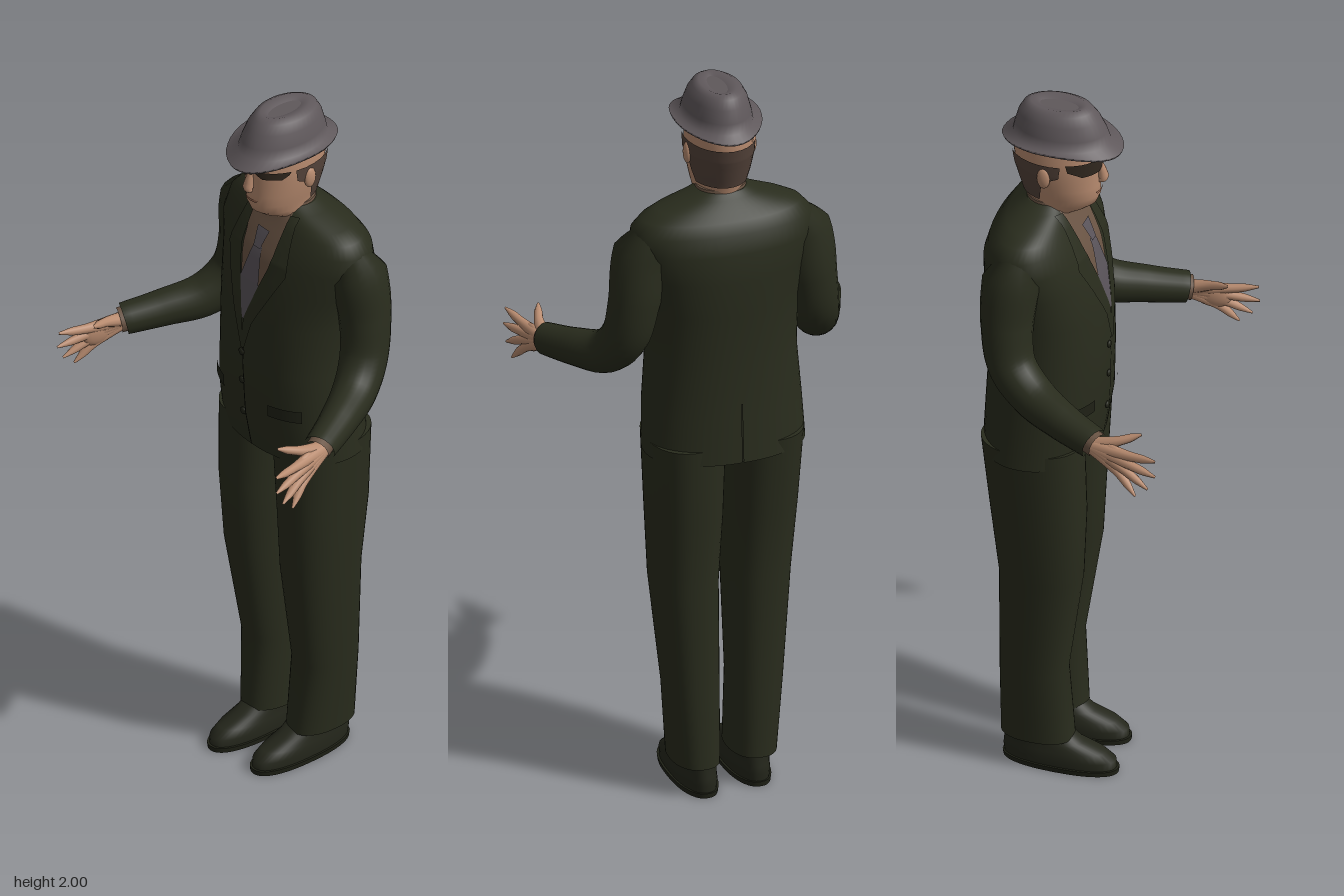
import * as THREE from 'three';

const mat = (name, color) => {
  const m = new THREE.MeshStandardMaterial({ color });
  m.name = name;
  return m;
};

// Sections are [y, centreX, halfWidth, backZ, frontZ], listed upwards
const JACKET = [
  [0.98, -0.01, 0.218, -0.3, 0.0], [1.1, -0.01, 0.212, -0.295, 0.02], [1.25, -0.01, 0.2, -0.288, 0.025],
  [1.4, -0.008, 0.205, -0.293, 0.02], [1.5, -0.005, 0.225, -0.298, 0.0], [1.58, -0.003, 0.25, -0.293, -0.022],
  [1.63, 0, 0.245, -0.278, -0.046], [1.66, 0, 0.218, -0.258, -0.062], [1.68, 0, 0.175, -0.238, -0.072],
  [1.7, -0.005, 0.105, -0.212, -0.08], [1.715, -0.008, 0.07, -0.196, -0.086]];
const HEAD = [
  [1.6, -0.008, 0.06, -0.19, -0.09], [1.68, -0.008, 0.062, -0.19, -0.072], [1.7, -0.008, 0.063, -0.193, -0.03],
  [1.715, -0.009, 0.066, -0.198, -0.01], [1.74, -0.01, 0.072, -0.204, 0.0], [1.77, -0.01, 0.079, -0.213, -0.001],
  [1.82, -0.01, 0.086, -0.228, 0.0], [1.86, -0.01, 0.087, -0.235, 0.001], [1.9, -0.01, 0.083, -0.23, -0.005]];

// Section at height y, interpolated
function sectionAt(secs, y) {
  let i = 0;
  while (i < secs.length - 2 && y > secs[i + 1][0]) i++;
  const t = THREE.MathUtils.clamp((y - secs[i][0]) / (secs[i + 1][0] - secs[i][0]), 0, 1);
  return secs[i].map((v, k) => v + (secs[i + 1][k] - v) * t);
}

// Point on a superellipse section; angle 0 faces +z, rising toward +x
function ringPoint([y, cx, rx, zb, zf], th, p, off = 0) {
  const e = (v) => Math.sign(v) * Math.abs(v) ** (2 / p);
  return [cx + (rx + off) * e(Math.sin(th)), y, (zb + zf) / 2 + ((zf - zb) / 2 + off) * e(Math.cos(th))];
}

function meshFrom(name, rows, closed, material, rule) {
  const pos = rows.flat(2), idx = [], n = rows[0].length;
  for (let i = 0; i < rows.length - 1; i++) {
    for (let j = 0; j < (closed ? n : n - 1); j++) {
      const a = i * n + j, b = i * n + (j + 1) % n;
      idx.push(a, b, b + n, a, b + n, a + n);
    }
  }
  const g = new THREE.BufferGeometry();
  g.setAttribute('position', new THREE.Float32BufferAttribute(pos, 3));
  if (rule) {
    const p = g.attributes.position;
    for (let i = 0; i < p.count; i++) p.setY(i, p.getY(i) + rule(p.getX(i), p.getY(i), p.getZ(i)));
  }
  g.setIndex(idx);
  g.computeVertexNormals();
  const m = new THREE.Mesh(g, material);
  m.name = name;
  return m;
}

// Closed body through stacked sections, with flat ends
function loft(name, secs, material, p = 2, rule = null, seg = 40) {
  const tip = ([y, cx, , zb, zf]) => [y, cx, 0.0005, (zb + zf) / 2 - 0.0005, (zb + zf) / 2 + 0.0005];
  const all = [tip(secs[0]), secs[0], ...secs, secs[secs.length - 1], tip(secs[secs.length - 1])];
  const rows = all.map((s) => Array.from({ length: seg }, (_, j) => ringPoint(s, (j / seg) * Math.PI * 2, p)));
  return meshFrom(name, rows, true, material, rule);
}

// Thin plate lying on a body; rows are [y, from, to] in x, or in angle when byAngle is set
function plate(name, secs, p, rows, off, material, byAngle = false) {
  const out = [], n = 16;
  for (let i = 0; i < rows.length - 1; i++) {
    for (let k = i ? 1 : 0; k <= 6; k++) {
      const [y, a, b] = rows[i].map((v, c) => v + (rows[i + 1][c] - v) * k / 6);
      const s = sectionAt(secs, y);
      out.push(Array.from({ length: n + 1 }, (_, j) => {
        const v = a + (b - a) * j / n;
        if (byAngle) return ringPoint(s, v, p, off);
        const u = THREE.MathUtils.clamp((v - s[1]) / (s[2] + off), -1, 1);
        return ringPoint(s, Math.asin(Math.sign(u) * Math.abs(u) ** (p / 2)), p, off);
      }));
    }
  }
  return meshFrom(name, out, false, material);
}

// Tapered tube along a curve
function limb(name, pts, radii, material, steps = 20, seg = 14) {
  const curve = new THREE.CatmullRomCurve3(pts.map((q) => new THREE.Vector3(...q)));
  const g = new THREE.TubeGeometry(curve, steps, 1, seg, false);
  const pos = g.attributes.position, v = new THREE.Vector3();
  for (let i = 0; i <= steps; i++) {
    const c = curve.getPointAt(i / steps);
    const f = (i / steps) * (radii.length - 1), k = Math.min(Math.floor(f), radii.length - 2);
    const r = radii[k] + (radii[k + 1] - radii[k]) * (f - k);
    for (let j = 0; j <= seg; j++) {
      const id = i * (seg + 1) + j;
      v.fromBufferAttribute(pos, id).sub(c).multiplyScalar(r).add(c);
      pos.setXYZ(id, v.x, v.y, v.z);
    }
  }
  const m = new THREE.Mesh(g, material);
  m.name = name;
  return m;
}

function ball(name, [x, y, z], [sx, sy, sz], material) {
  const m = new THREE.Mesh(new THREE.SphereGeometry(1, 20, 14), material);
  m.position.set(x, y, z);
  m.scale.set(sx, sy, sz);
  m.name = name;
  return m;
}

export function createModel() {
  const suit = mat('suit', 0x292c1d), trim = mat('suitTrim', 0x1f2116), shoe = mat('shoeLeather', 0x24261b);
  const skin = mat('skin', 0xb98c70), hair = mat('hair', 0x54433a), hatFelt = mat('hatFelt', 0x5f585b);
  const shirt = mat('shirt', 0x6a5444), tie = mat('tie', 0x5a545a), dark = mat('darkGlass', 0x31281f);
  const lip = mat('lips', 0x94664f);
  const model = new THREE.Group();
  const add = (...parts) => model.add(...parts);

  // Jacket with shirt opening, lapels, buttons and pockets
  const P = 2.2;
  add(loft('jacket', JACKET, suit, P, null, 56));
  add(plate('shirtFront', JACKET, P, [[1.39, -0.012, -0.004], [1.55, -0.06, 0.046], [1.65, -0.077, 0.062], [1.712, -0.07, 0.054]], 0.004, shirt));
  add(plate('tieBlade', JACKET, P, [[1.39, -0.012, -0.004], [1.5, -0.044, 0.028], [1.6, -0.022, 0.008]], 0.008, tie));
  add(plate('tieKnot', JACKET, P, [[1.595, -0.02, 0.006], [1.645, -0.03, 0.016]], 0.012, tie));
  add(plate('rightLapel', JACKET, P, [[1.3, -0.012, -0.004], [1.39, -0.04, -0.01], [1.56, -0.12, -0.06], [1.59, -0.115, -0.067], [1.7, -0.095, -0.072]], 0.009, suit));
  add(plate('leftLapel', JACKET, P, [[1.3, -0.01, 0], [1.39, -0.006, 0.026], [1.56, 0.048, 0.11], [1.59, 0.053, 0.105], [1.7, 0.056, 0.08]], 0.009, suit));
  add(plate('jacketOpening', JACKET, P, [[0.985, -0.003, 0.001], [1.3, -0.01, -0.007]], 0.004, trim));
  add(plate('backVent', JACKET, P, [[0.985, 3.13, 3.15], [1.15, 3.135, 3.145]], 0.004, trim, true));
  for (const y of [1.09, 1.19, 1.28]) add(ball('button', [-0.015, y, sectionAt(JACKET, y)[4] + 0.003], [0.01, 0.01, 0.005], trim));
  for (const s of [-1, 1]) {
    add(plate('pocketFlap', JACKET, P, [[1.12, -0.01 + s * 0.13 - 0.042, -0.01 + s * 0.13 + 0.042],
      [1.155, -0.01 + s * 0.13 - 0.042, -0.01 + s * 0.13 + 0.042]], 0.006, trim));
  }
  add(loft('shirtCollar', [[1.66, -0.008, 0.078, -0.205, -0.066], [1.7, -0.008, 0.071, -0.2, -0.07], [1.722, -0.008, 0.066, -0.196, -0.076]], shirt));

  // Head and face
  add(loft('head', HEAD, skin));
  add(plate('hair', HEAD, 2, [[1.735, 1.95, 4.33], [1.8, 1.72, 4.56], [1.82, 1.32, 4.96], [1.855, 1.27, 5.01]], 0.006, hair, true));
  add(limb('nose', [[-0.01, 1.845, -0.004], [-0.01, 1.81, 0.006], [-0.01, 1.79, 0.008], [-0.01, 1.778, -0.004]], [0.006, 0.011, 0.015, 0.004], skin));
  add(plate('rightLens', HEAD, 2, [[1.822, -0.075, -0.03], [1.84, -0.094, 0.002], [1.862, -0.096, 0.012]], 0.007, dark));
  add(plate('leftLens', HEAD, 2, [[1.834, 0.03, 0.066], [1.846, 0.014, 0.074], [1.856, 0.012, 0.076]], 0.007, dark));
  add(plate('mouth', HEAD, 2, [[1.751, -0.03, 0.01], [1.758, -0.036, 0.016]], 0.003, lip));
  for (const s of [-1, 1]) add(ball('ear', [-0.01 + s * 0.09, 1.815, -0.125], [0.01, 0.03, 0.018], skin));

  // Hat: curled brim and crown with a lengthwise crease
  const hatSecs = [
    [1.888, -0.007, 0.08, -0.225, 0.0], [1.874, -0.007, 0.112, -0.262, 0.056], [1.882, -0.007, 0.115, -0.266, 0.06],
    [1.902, -0.008, 0.091, -0.238, 0.026], [1.93, -0.008, 0.085, -0.232, 0.016], [1.965, -0.008, 0.075, -0.222, -0.002],
    [1.989, -0.008, 0.062, -0.208, -0.022], [1.999, -0.008, 0.045, -0.19, -0.04], [1.99, -0.008, 0.022, -0.165, -0.06]];
  add(loft('hat', hatSecs, hatFelt, 2, (x, y, z) => (y < 1.895 ? 1.9 * (x + 0.007) ** 2 + (z < -0.15 ? 0.008 : 0) * Math.min(1, (-0.15 - z) * 10) : 0)));

  for (const s of [-1, 1]) {
    const side = s > 0 ? 'left' : 'right', dz = s > 0 ? 0 : 0.015;
    const at = (x, y, z) => [s * x, y, z + dz];

    // Sleeve and cuff
    add(limb(side + 'Sleeve', [[s * 0.19, 1.63, -0.165], [s * 0.222, 1.56, -0.17], [s * 0.243, 1.44, -0.175], [s * 0.262, 1.33, -0.155],
      at(0.292, 1.265, -0.1), at(0.343, 1.238, 0), at(0.387, 1.222, 0.098), at(0.388, 1.2215, 0.1)],
    [0.035, 0.078, 0.074, 0.068, 0.065, 0.062, 0.058, 0.052, 0.047, 0.043], suit, 36, 20));
    add(limb(side + 'Cuff', [at(0.375, 1.226, 0.075), at(0.392, 1.22, 0.112)], [0.034, 0.034], shirt, 4));

    // Hand: each finger runs from the wrist through its knuckle
    const hand = new THREE.Group();
    hand.name = side + 'Hand';
    const fingers = [
      ['indexFinger', [0.413, 1.222, 0.2], [0.432, 1.232, 0.283]], ['middleFinger', [0.417, 1.2, 0.2], [0.436, 1.187, 0.284]],
      ['ringFinger', [0.418, 1.18, 0.192], [0.437, 1.145, 0.263]], ['littleFinger', [0.416, 1.164, 0.178], [0.434, 1.115, 0.228]],
      ['thumb', [0.384, 1.24, 0.16], [0.364, 1.262, 0.222]]];
    for (const [name, k, t] of fingers) {
      hand.add(limb(name, [at(0.388, 1.218, 0.09), at(...k), at(...t)], [0.023, 0.019, 0.016, 0.0125, 0.011, 0.003], skin, 18, 10));
    }
    const palm = ball('palm', at(0.406, 1.2, 0.162), [0.015, 0.038, 0.052], skin);
    palm.rotation.set(0.3, s * 0.2, 0);
    hand.add(palm);
    add(hand);

    // Trouser leg
    const cx = s > 0 ? [0.078, 0.088, 0.099, 0.1, 0.1] : [-0.085, -0.094, -0.107, -0.113, -0.116];
    const d = s > 0 ? -0.018 : 0;
    add(loft(side + 'TrouserLeg', [
      [0.085, cx[0], 0.064, -0.242 + d, -0.045 + d], [0.3, cx[1], 0.072, -0.242 + d, -0.06 + d], [0.6, cx[2], 0.087, -0.238 + d, -0.016 + d],
      [0.8, cx[3], 0.096, -0.26 + d, -0.006 + d], [1.02, cx[4], 0.104, -0.284, -0.012]], suit, 2.3));

    // Shoe with a thin sole
    const sx = s > 0 ? 0.069 : -0.083;
    add(loft(side + 'Shoe', [
      [0.012, sx, 0.052, -0.235 + d, 0.07 + d], [0.035, sx, 0.054, -0.238 + d, 0.068 + d], [0.055, sx, 0.05, -0.236 + d, 0.04 + d],
      [0.075, sx, 0.047, -0.232 + d, -0.02 + d], [0.12, sx, 0.045, -0.228 + d, -0.08 + d]], shoe, 2.3));
    add(loft(side + 'Sole', [[0, sx, 0.056, -0.238 + d, 0.075 + d], [0.014, sx, 0.058, -0.24 + d, 0.076 + d]], trim, 2.3));
  }
  return model;
}
